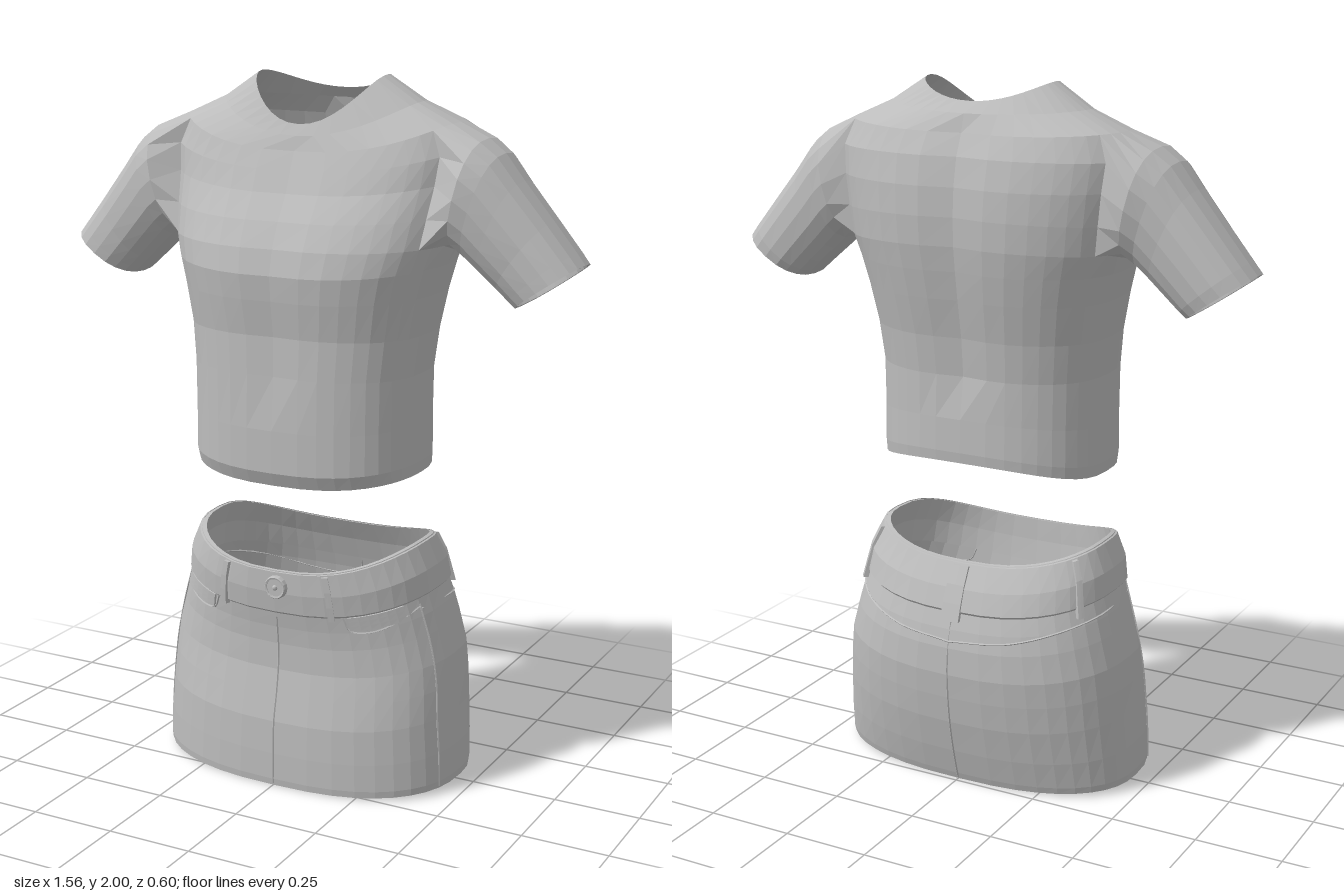
import * as THREE from 'three';

const fabric = new THREE.MeshStandardMaterial({ color: 0xbcbcbc, side: THREE.DoubleSide });
fabric.name = 'grey fabric';

const SEG = 40;
const V = (x, y, z) => new THREE.Vector3(x, y, z);
const lerp = THREE.MathUtils.lerp;

function flatMesh(name, geometry) {
  const g = geometry.index ? geometry.toNonIndexed() : geometry;
  g.computeVertexNormals();
  const mesh = new THREE.Mesh(g, fabric);
  mesh.name = name;
  return mesh;
}

// Skin between successive rings of points; skip(i, j) leaves a cell open
function loft(name, rings, { closed = true, flip = false, skip = () => false } = {}) {
  const n = rings[0].length, index = [];
  for (let i = 0; i < rings.length - 1; i++) {
    for (let j = 0; j < (closed ? n : n - 1); j++) {
      if (skip(i, j)) continue;
      const k = (j + 1) % n;
      const a = i * n + j, b = i * n + k, c = a + n, d = b + n;
      if (flip) index.push(a, b, c, b, d, c);
      else index.push(a, c, b, b, c, d);
    }
  }
  const g = new THREE.BufferGeometry().setFromPoints(rings.flat());
  g.setIndex(index);
  return flatMesh(name, g);
}

// Rounded cross-section: angle 0 is the left side, 90 degrees the front
function section(t, w, zc, zf, zb, ys, yf, yb, p) {
  const c = Math.cos(t), s = Math.sin(t);
  const x = w * Math.sign(c) * Math.abs(c) ** p;
  const z = zc + ((s > 0 ? zf : zb) - zc) * Math.abs(s) ** p;
  return V(x, lerp(ys, s > 0 ? yf : yb, s * s), z);
}
const around = f => Array.from({ length: SEG }, (_, j) => f((j / SEG) * Math.PI * 2));

// ---------- Shirt ----------
// half width, side z, side y, front y, front z, back y, back z
const TORSO = [
  [0.335, 0.03, 0.915, 0.89, 0.27, 0.955, -0.215],
  [0.337, 0.03, 0.95, 0.93, 0.288, 0.985, -0.218],
  [0.336, 0.03, 1.06, 1.05, 0.287, 1.08, -0.215],
  [0.338, 0.03, 1.2, 1.2, 0.285, 1.2, -0.215],
  [0.35, 0.02, 1.31, 1.31, 0.283, 1.31, -0.226],
  [0.37, 0.01, 1.42, 1.41, 0.298, 1.42, -0.248],
  [0.39, 0, 1.5, 1.48, 0.305, 1.5, -0.262],
  [0.41, -0.01, 1.56, 1.55, 0.288, 1.57, -0.272],
  [0.42, -0.02, 1.64, 1.62, 0.253, 1.65, -0.274],
  [0.43, -0.03, 1.73, 1.69, 0.207, 1.73, -0.268],
  [0.438, -0.03, 1.81, 1.75, 0.18, 1.81, -0.25],
  [0.41, -0.03, 1.882, 1.8, 0.157, 1.87, -0.22],
  [0.3, -0.03, 1.932, 1.84, 0.14, 1.92, -0.185],
  [0.195, -0.025, 2, 1.87, 0.125, 1.95, -0.155],
];
const LOW = 7, TOP = 11, HALF = 3; // armhole rows and half width in columns

function torsoRings() {
  return TORSO.map(([w, zc, ys, yf, zf, yb, zb], i) => around(t => {
    const p = section(t, w, zc, zf, zb, ys, yf, yb, i > 11 ? 0.95 : 0.78);
    // shallow groove down the chest and spine
    if (i > 2 && i < 12) p.z *= 1 - (p.z > 0 ? 0.04 : 0.09) * Math.exp(-((p.x / 0.08) ** 2));
    return p;
  }));
}

// Armhole edge of the left side, from its top round by the front
function armhole(rings) {
  const at = (i, j) => rings[i][(j + SEG) % SEG].clone();
  const loop = [];
  for (let j = 0; j < HALF; j++) loop.push(at(TOP, j));
  for (let i = TOP; i > LOW; i--) loop.push(at(i, HALF));
  for (let j = HALF; j > -HALF; j--) loop.push(at(LOW, j));
  for (let i = LOW; i < TOP; i++) loop.push(at(i, -HALF));
  for (let j = -HALF; j < 0; j++) loop.push(at(TOP, j));
  return loop;
}

// top x, top y, bottom x, bottom y, front z, back z
const SLEEVE = [
  [0.5, 1.845, 0.43, 1.545, 0.15, -0.178],
  [0.55, 1.808, 0.46, 1.522, 0.14, -0.162],
  [0.605, 1.738, 0.5, 1.487, 0.13, -0.153],
  [0.69, 1.635, 0.55, 1.443, 0.117, -0.148],
  [0.755, 1.556, 0.582, 1.415, 0.112, -0.145],
  [0.78, 1.525, 0.6, 1.4, 0.11, -0.14],
  [0.771, 1.52, 0.607, 1.406, 0.102, -0.132], // inner hem
  [0.738, 1.56, 0.578, 1.438, 0.103, -0.135],
];

function sleeve(name, hole, side) {
  const rings = [hole, ...SLEEVE.map(([tx, ty, bx, by, zf, zb]) => hole.map((_, k) => {
    const a = (k / hole.length) * Math.PI * 2, c = Math.cos(a), s = Math.sin(a);
    const u = 0.5 + 0.5 * Math.sign(c) * Math.abs(c) ** 0.85;
    const m = (zf + zb) / 2, h = (zf - zb) / 2;
    return V(lerp(bx, tx, u), lerp(by, ty, u), m + h * Math.sign(s) * Math.abs(s) ** 0.85);
  }))];
  const placed = rings.map(r => r.map(p => V(p.x * side, p.y, p.z)));
  return loft(name, placed, { flip: side > 0 });
}

function shirt() {
  const group = new THREE.Group();
  group.name = 'shirt';
  const rings = torsoRings();
  const inHole = (i, j) => {
    const left = j < HALF || j >= SEG - HALF;
    const right = j >= SEG / 2 - HALF && j < SEG / 2 + HALF;
    return i >= LOW && i < TOP && (left || right);
  };
  const hole = armhole(rings);
  group.add(
    loft('shirtBody', rings, { skip: inHole }),
    sleeve('leftSleeve', hole, 1),
    sleeve('rightSleeve', hole, -1),
  );
  return group;
}

// ---------- Skirt ----------
// height fraction, half width, front z, back z
const SKIRT = [
  [0, 0.46, 0.288, -0.235],
  [0.03, 0.462, 0.29, -0.242],
  [0.15, 0.458, 0.288, -0.263],
  [0.3, 0.45, 0.283, -0.284],
  [0.42, 0.444, 0.267, -0.294],
  [0.53, 0.435, 0.252, -0.3],
  [0.65, 0.412, 0.25, -0.294],
  [0.73, 0.396, 0.255, -0.282],
  [0.8, 0.38, 0.263, -0.266],
  [0.9, 0.37, 0.272, -0.24],
  [1, 0.34, 0.274, -0.2],
];

function skirtPoint(t, h, off = 0) {
  let i = 0;
  while (i < SKIRT.length - 2 && h > SKIRT[i + 1][0]) i++;
  const A = SKIRT[i], B = SKIRT[i + 1], f = (h - A[0]) / (B[0] - A[0]);
  const [w, zf, zb] = [1, 2, 3].map(k => lerp(A[k], B[k], f));
  const side = lerp(0.018, 0.713, h);
  return section(t, w + off, 0, zf + off, zb - off, side, 0.645 * h, 0.66 * h, 0.78);
}

// Thin strip of cloth lying on the skirt, with edges turned in to it
function patch(name, t0, t1, h0, h1, off, n = 4) {
  const row = (h, o) => Array.from({ length: n + 3 }, (_, j) => {
    const k = THREE.MathUtils.clamp((j - 1) / n, 0, 1);
    return skirtPoint(lerp(t0, t1, k), h, j === 0 || j === n + 2 ? 0 : o);
  });
  const mid = [0, 0.33, 0.67, 1].map(k => row(lerp(h0, h1, k), off));
  return loft(name, [row(h0, 0), ...mid, row(h1, 0)], { closed: false });
}

// Raised stitching through [degrees, height] points
function seam(name, pts) {
  const curve = new THREE.CatmullRomCurve3(pts.map(([d, h]) => skirtPoint(THREE.MathUtils.degToRad(d), h, 0.001)));
  return flatMesh(name, new THREE.TubeGeometry(curve, 24, 0.003, 4));
}

function skirt() {
  const group = new THREE.Group();
  group.name = 'skirt';
  const rad = THREE.MathUtils.degToRad;
  const ring = (h, o) => around(t => skirtPoint(t, h, o));

  group.add(loft('skirtBody', [
    ring(0.05, -0.014), ring(0, -0.012), ...SKIRT.map(r => ring(r[0], 0)),
  ]));
  // Waistband with its inner facing
  group.add(loft('waistband', [
    ring(0.8, 0), ring(0.81, 0.007), ring(0.9, 0.007), ring(0.995, 0.005),
    ring(1, -0.012), ring(0.9, -0.014), ring(0.8, -0.014),
  ]));

  // Vertical seams at the front, back and sides
  const heights = [0.01, 0.15, 0.3, 0.45, 0.6, 0.78];
  for (const [name, d] of [['frontSeam', 90], ['backSeam', 270], ['leftSeam', 18], ['rightSeam', 162]]) {
    group.add(seam(name, heights.map(h => [d, h])));
  }

  for (const side of [1, -1]) {
    const word = side > 0 ? 'left' : 'right';
    const deg = d => (side > 0 ? d : 180 - d);
    const strip = (name, a, b, h0, h1, off, n) => {
      const lo = Math.min(deg(a), deg(b)), hi = Math.max(deg(a), deg(b));
      return patch(word + name, rad(lo), rad(hi), h0, h1, off, n);
    };
    group.add(strip('FrontBeltLoop', 68, 71, 0.79, 0.99, 0.014, 2));
    group.add(strip('BackBeltLoop', -32, -28, 0.77, 0.99, 0.014, 2));
    // Front pocket with curved opening
    group.add(strip('Pocket', 30, 62, 0.74, 0.8, 0.005, 6));
    group.add(seam(word + 'PocketSeam', [[64, 0.8], [62, 0.74], [52, 0.725], [38, 0.74], [18, 0.77]].map(([d, h]) => [deg(d), h])));
    // Back yoke dipping towards the middle
    group.add(seam(word + 'YokeSeam', [[-90, 0.68], [-70, 0.7], [-45, 0.73], [-15, 0.745], [18, 0.76]].map(([d, h]) => [deg(d), h])));
  }
  group.add(patch('backBeltLoop', rad(268), rad(272), 0.77, 0.99, 0.014, 2));

  // Waist button with a raised rim and stud
  const button = new THREE.Group();
  button.name = 'button';
  const disc = flatMesh('buttonDisc', new THREE.CylinderGeometry(0.032, 0.034, 0.012, 16));
  disc.rotation.x = Math.PI / 2;
  const rim = flatMesh('buttonRim', new THREE.TorusGeometry(0.029, 0.004, 5, 16));
  rim.position.z = 0.006;
  const stud = flatMesh('buttonStud', new THREE.SphereGeometry(0.008, 8, 6));
  stud.position.z = 0.006;
  button.add(disc, rim, stud);
  button.position.set(0.01, 0.6, 0.283);
  group.add(button);
  return group;
}

export function createModel() {
  const model = new THREE.Group();
  model.name = 'outfit';
  model.add(shirt(), skirt());
  return model;
}
